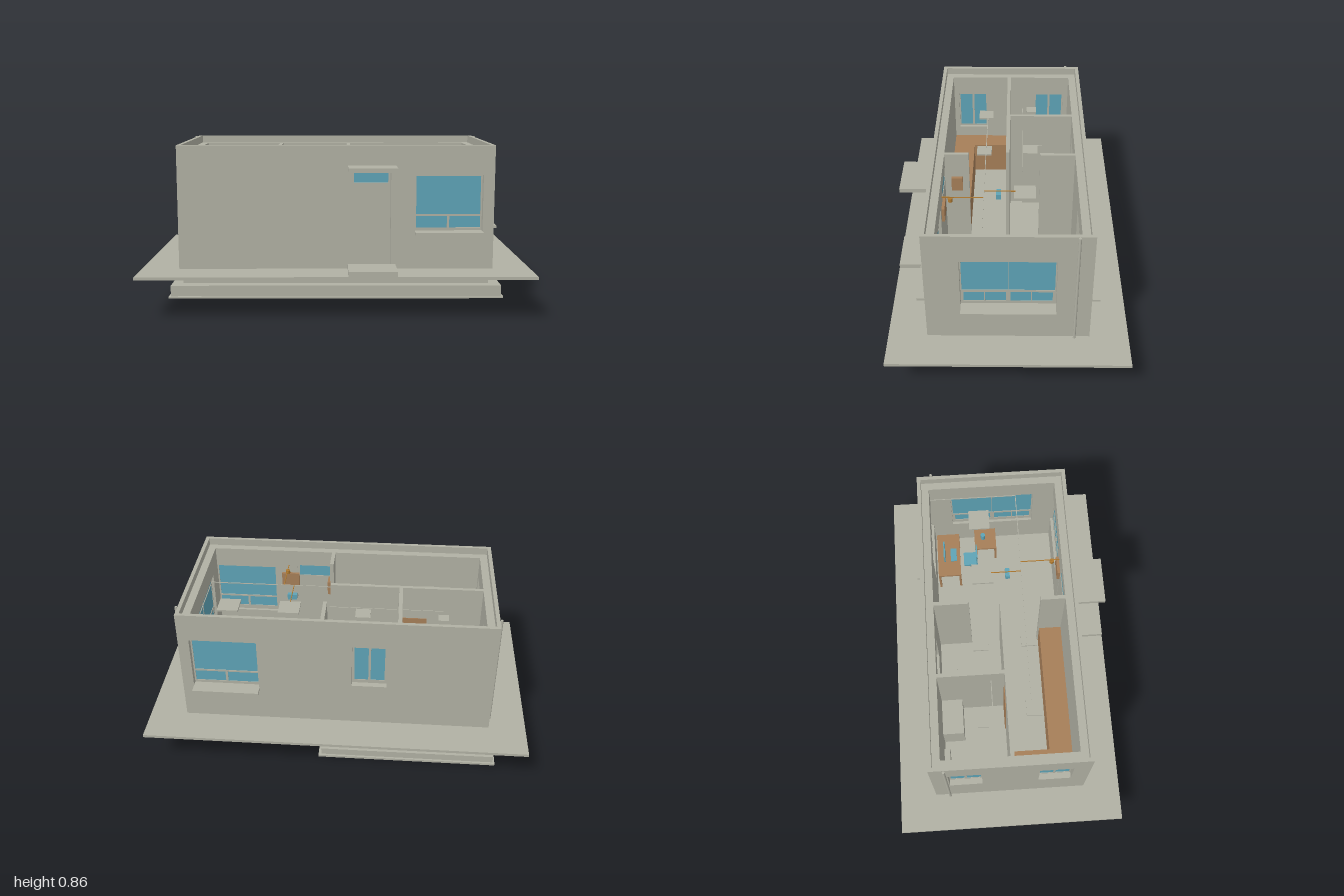
import * as THREE from 'three';

const mat = (name, color) => Object.assign(new THREE.MeshStandardMaterial({ color }), { name });

export function createModel() {
  const plaster = mat('plaster', 0xb0b0a3);
  const glass = mat('glass', 0x5ea3b6);
  const wood = mat('wood', 0xa57e58);
  const copper = mat('copper', 0xb07a30);
  const house = new THREE.Group();
  house.name = 'house';

  const add = (name, geo, m, parent = house) => {
    const mesh = new THREE.Mesh(geo, m);
    mesh.name = name;
    parent.add(mesh);
    return mesh;
  };
  // Box from its extents
  const box = (name, x0, x1, y0, y1, z0, z1, m = plaster, parent = house) => {
    const b = add(name, new THREE.BoxGeometry(x1 - x0, y1 - y0, z1 - z0), m, parent);
    b.position.set((x0 + x1) / 2, (y0 + y1) / 2, (z0 + z1) / 2);
    return b;
  };
  const cyl = (name, r, x, y0, y1, z, m = plaster, rTop = r) => {
    const c = add(name, new THREE.CylinderGeometry(rTop, r, y1 - y0, 16), m);
    c.position.set(x, (y0 + y1) / 2, z);
    return c;
  };
  const path = (P, [x0, x1, y0, y1]) => new P([[x0, y0], [x1, y0], [x1, y1], [x0, y1]].map(p => new THREE.Vector2(...p)));
  // Upright sheet with rectangular holes, between two depths
  const sheet = (name, rect, holes, z0, z1, parent) => {
    const s = path(THREE.Shape, rect);
    s.holes = holes.map(h => path(THREE.Path, h));
    const g = new THREE.ExtrudeGeometry(s, { depth: z1 - z0, bevelEnabled: false });
    return add(name, g.translate(0, 0, z0), plaster, parent);
  };

  // Ground slab, entrance step and canopy
  box('groundSlab', -1, 1, 0.21, 0.225, -0.597, 0.597);
  box('entranceStep', 0.06, 0.305, 0.225, 0.25, 0.403, 0.596);
  box('entranceCanopy', 0.06, 0.305, 0.737, 0.758, 0.403, 0.558);

  // Strip foundation: bedding, footing and stem, open at the cellar corner
  const layers = [
    ['bedding', 0.08, 0.09, 0.857, 0.453, 0.18],
    ['footing', 0.09, 0.145, 0.847, 0.442, 0.16],
    ['stemWall', 0.145, 0.21, 0.79, 0.385, 0.045],
  ];
  for (const [name, y0, y1, x, z, w] of layers) {
    box(name + 'Front', -x, x, y0, y1, z - w, z);
    box(name + 'Right', x - w, x, y0, y1, -z + w, z - w);
    box(name + 'Back', 0.08, x, y0, y1, -z, -z + w);
    box(name + 'Left', -x, -x + w, y0, y1, 0.05, z - w);
  }

  // Cellar
  box('cellarBedding', -0.857, 0.095, 0, 0.012, -0.453, 0.06);
  box('cellarFooting', -0.847, 0.08, 0.012, 0.05, -0.442, 0.05);
  box('cellarWalls', -0.79, 0.08, 0.05, 0.21, -0.385, 0.05);

  // Pane layouts, relative to the window's centre
  const Y0 = 0.41, Y1 = 0.71;
  const single = [[-0.165, 0.165, 0.505, 0.7], [-0.165, -0.006, 0.435, 0.495], [0.006, 0.165, 0.435, 0.495]];
  const double = [[-0.225, -0.002, 0.505, 0.7], [0.002, 0.225, 0.505, 0.7],
    ...[-0.217, -0.112, 0.01, 0.115].map(x => [x, x + 0.1, 0.435, 0.492])];
  const small = [[-0.078, -0.006, 0.485, 0.697], [0.006, 0.078, 0.485, 0.697]];
  const win = (c, half, y0, panes, sill) => ({ c, rect: [c - half, c + half, y0, Y1], panes, sill });

  // Outer walls: name, turn, outer face, half length, inner half length, openings
  const X = 0.807, Z = 0.403;
  const door = { c: 0.18, rect: [0.08, 0.28, 0.225, 0.738], panes: [[-0.088, 0.088, 0.665, 0.728]], door: true };
  const walls = [
    ['front', 0, Z, X, X - 0.02, [door, win(0.577, 0.173, Y0, single, true)]],
    ['back', Math.PI, Z, X, X - 0.02, [win(-0.577, 0.173, Y0, single, true), win(0.17, 0.09, 0.465, small)]],
    ['right', Math.PI / 2, X, Z - 0.02, Z - 0.06, [win(0, 0.231, Y0, double, true)]],
    ['left', -Math.PI / 2, X, Z - 0.02, Z - 0.06, [win(-0.23, 0.085, 0.475, small), win(0.23, 0.085, 0.475, small)]],
  ];
  for (const [name, turn, d, half, inner, openings] of walls) {
    const side = new THREE.Group();
    side.name = name + 'Side';
    side.rotation.y = turn;
    house.add(side);
    // Keep the doorway a hair above the wall foot so that the hole stays closed
    const holes = openings.map(({ rect: [a, b, c, e] }) => [a, b, Math.max(c, 0.227), e]);
    sheet(name + 'Parapet', [-half, half, 0.225, 0.86], holes, d - 0.02, d, side);
    sheet(name + 'InnerWall', [-inner, inner, 0.225, 0.82], holes, d - 0.06, d - 0.02, side);
    for (const o of openings) {
      const [x0, x1, y0, y1] = o.rect;
      const panes = o.panes.map(([a, b, c, e]) => [a + o.c, b + o.c, c, e]);
      const zf = o.door ? d - 0.058 : d - 0.045;
      sheet(o.door ? 'doorLeaf' : name + 'WindowFrame', o.rect, panes, zf, zf + 0.014, side);
      for (const [a, b, c, e] of panes) box(name + 'Pane', a, b, c, e, zf + 0.003, zf + 0.011, glass, side);
      if (o.sill) box(name + 'Sill', x0, x1, y0 - 0.003, y0 + 0.01, d - 0.03, d + 0.048, plaster, side);
    }
  }

  // Rain pipes
  for (const s of [-1, 1]) cyl('rainPipe', 0.007, s * 0.815, 0.225, 0.86, -0.327);

  // Partition walls
  const H = 0.82;
  box('longPartition', -0.747, 0.06, 0.225, H, 0, 0.02);
  box('bathroomPartition', -0.325, -0.305, 0.225, H, -0.343, 0);
  box('hallPartition', 0.065, 0.085, 0.225, H, -0.343, -0.16);
  box('kitchenPartition', 0.062, 0.082, 0.225, H, 0.215, 0.343);
  box('bathroomDoor', -0.46, -0.33, 0.225, 0.63, -0.004, 0.006, wood);
  box('hallDoor', -0.3, -0.292, 0.225, 0.63, -0.18, -0.07);

  // Kitchen worktops
  box('kitchenCounter', -0.635, 0.06, 0.225, 0.41, 0.222, 0.343, wood);
  box('sideCounter', -0.747, -0.635, 0.225, 0.41, 0.03, 0.343, wood);

  // Desk and side table on legs
  const table = (name, x0, x1, z0, z1, y) => {
    box(name + 'Top', x0, x1, y - 0.012, y, z0, z1, wood);
    for (const x of [x0, x1 - 0.012]) for (const z of [z0, z1 - 0.012])
      box(name + 'Leg', x, x + 0.012, 0.225, y - 0.012, z, z + 0.012, wood);
  };
  table('desk', 0.43, 0.695, -0.33, -0.2, 0.38);
  table('sideTable', 0.6, 0.73, -0.11, 0.015, 0.36);
  box('monitor', 0.51, 0.61, 0.4, 0.46, -0.293, -0.285, glass);
  box('keyboard', 0.52, 0.6, 0.38, 0.386, -0.255, -0.22, glass);
  box('chairSeat', 0.515, 0.595, 0.315, 0.33, -0.18, -0.1, glass);
  box('chairBack', 0.515, 0.595, 0.33, 0.43, -0.108, -0.1, glass);
  cyl('chairStem', 0.008, 0.555, 0.225, 0.315, -0.14);
  cyl('tableLamp', 0.013, 0.67, 0.36, 0.4, -0.06, glass);

  // Bathroom fittings
  box('toiletTank', -0.665, -0.595, 0.3, 0.4, -0.34, -0.31);
  cyl('toiletBowl', 0.025, -0.63, 0.225, 0.31, -0.255, plaster, 0.04).scale.z = 1.35;
  box('washStand', -0.515, -0.325, 0.225, 0.4, -0.343, -0.23);
  cyl('washBasin', 0.03, -0.42, 0.4, 0.412, -0.285, plaster, 0.04);
  box('smallSink', -0.26, -0.145, 0.37, 0.4, -0.32, -0.25);

  // Ceiling lamps
  const lamps = [[-0.485, 0.14, 0.08], [-0.11, 0.14, 0.08], [0.275, -0.08, 0.112], [0.6, -0.08, 0.112],
    [-0.543, -0.122, 0.055], [-0.12, -0.11, 0.08]];
  for (const [x, z, s] of lamps)
    box('ceilingLamp', x - s / 2, x + s / 2, 0.712, 0.722, z - s / 2, z + s / 2);

  // Wiring and its boxes
  const wire = (x0, x1, z0, z1, m = plaster) =>
    box('conduit', x0 - 0.002, x1 + 0.002, 0.724, 0.728, z0 - 0.002, z1 + 0.002, m);
  wire(-0.44, 0.735, 0.13, 0.13);
  wire(0.735, 0.735, -0.34, 0.13);
  wire(-0.3, 0.06, -0.07, -0.07);
  wire(-0.54, -0.33, -0.07, -0.07);
  wire(0.275, 0.275, -0.03, 0.13, copper);
  wire(0.33, 0.33, 0.13, 0.34, copper);
  box('meterBox', 0.25, 0.3, 0.69, 0.72, 0.043, 0.067, glass);
  box('fuseBox', 0.27, 0.37, 0.6, 0.68, 0.328, 0.343, wood);
  box('switchBox', 0.083, 0.1, 0.6, 0.68, 0.25, 0.31, wood);
  cyl('junctionBox', 0.012, 0.33, 0.7, 0.72, 0.3, copper);
  return house;
}
